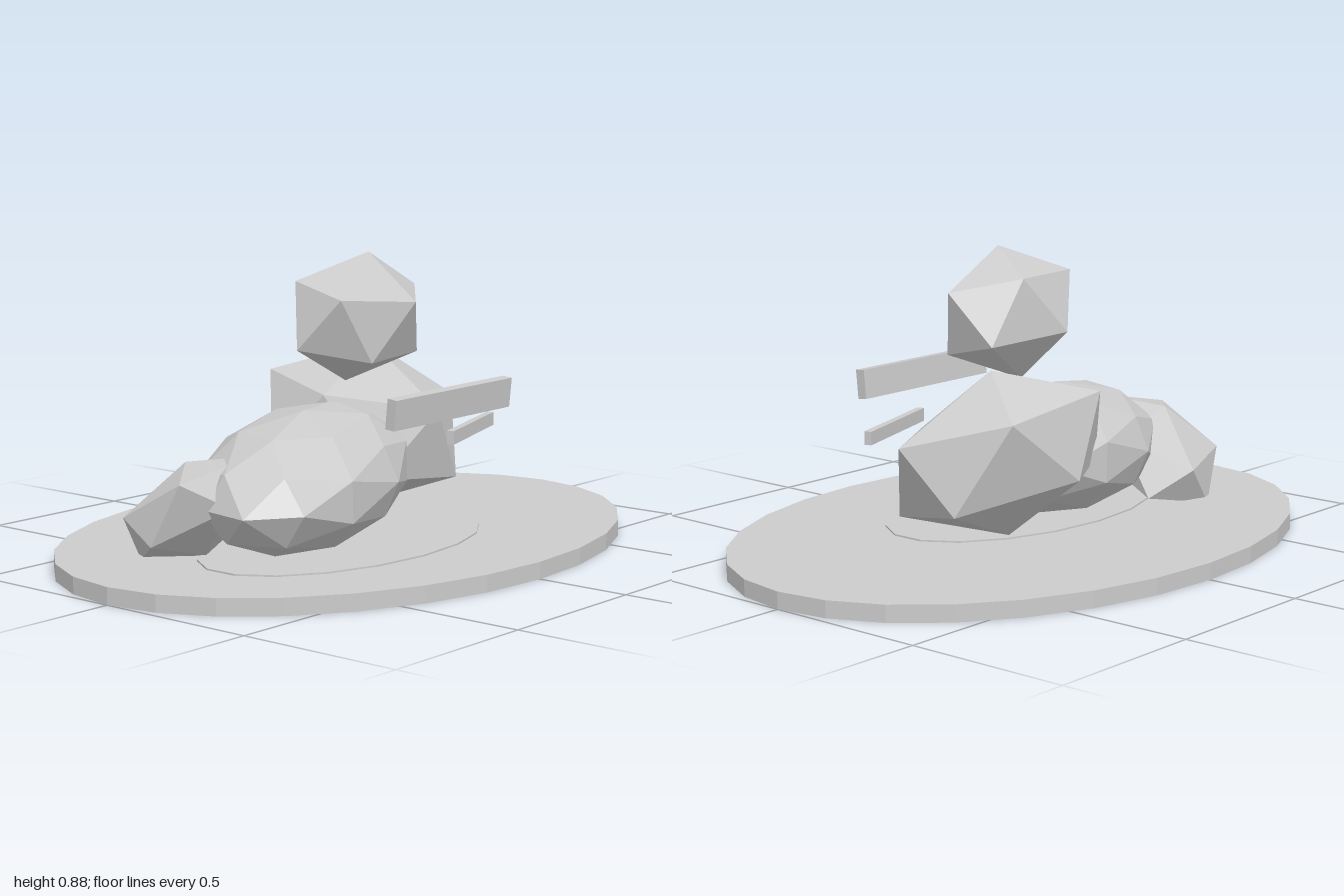
import * as THREE from 'three';

const grey = new THREE.MeshStandardMaterial({ color: 0xcccccc, flatShading: true });

function addMesh(group, name, geometry, position, rotation = [0, 0, 0]) {
  const mesh = new THREE.Mesh(geometry, grey);
  mesh.name = name;
  mesh.position.set(...position);
  mesh.rotation.set(...rotation);
  group.add(mesh);
}

// Oval slab with the given half widths along x and z
function ovalSlab(rx, rz, height, sides) {
  return new THREE.CylinderGeometry(1, 1, height, sides).scale(rx, 1, rz);
}

// Stretched icosahedron: one face is placed at corners a, b, c (from the centre,
// counterclockwise), and the other corners follow from it
function facetedRock(a, b, c) {
  const geometry = new THREE.IcosahedronGeometry(1, 0);
  const pos = geometry.attributes.position;
  const corner = (i) => new THREE.Vector3().fromBufferAttribute(pos, i);
  const from = new THREE.Matrix4().makeBasis(corner(0), corner(1), corner(2));
  const to = new THREE.Matrix4().makeBasis(
    new THREE.Vector3(...a), new THREE.Vector3(...b), new THREE.Vector3(...c));
  geometry.applyMatrix4(to.multiply(from.invert()));
  geometry.computeVertexNormals();
  return geometry;
}

export function createModel() {
  const model = new THREE.Group();
  model.name = 'rockPile';

  // Ground
  addMesh(model, 'base', ovalSlab(1, 0.712, 0.05, 28), [0, 0.025, 0]);
  addMesh(model, 'groundPatch', ovalSlab(0.53, 0.3, 0.01, 18), [-0.16, 0.05, 0.12]);

  // Long rounded boulder, turned and slightly raised at its left end
  addMesh(model, 'longBoulder',
    new THREE.IcosahedronGeometry(1, 1).scale(0.51, 0.197, 0.285),
    [-0.23, 0.245, 0.035], [0, 0.38, 0.06]);

  // Faceted rocks
  addMesh(model, 'largeRock',
    facetedRock([0.042, 0.25, -0.003], [0.347, 0.062, 0.072], [0.167, 0.135, -0.193]),
    [0.243, 0.322, -0.137]);
  addMesh(model, 'smallRock',
    facetedRock([-0.02, 0.135, -0.02], [-0.19, -0.01, -0.1], [-0.19, 0.11, 0.12]),
    [-0.58, 0.19, -0.07]);
  addMesh(model, 'topRock',
    facetedRock([0.003, 0.195, 0.042], [0.063, 0.05, 0.172], [0.238, 0.08, 0.027]),
    [0.012, 0.69, 0.028]);

  // Flat bars in front
  addMesh(model, 'wideBar', new THREE.BoxGeometry(0.555, 0.088, 0.032),
    [0.013, 0.467, 0.378], [0.1, 0.02, 0]);
  addMesh(model, 'narrowBar', new THREE.BoxGeometry(0.375, 0.04, 0.022),
    [0.257, 0.35, 0.267], [0, 0.33, 0]);

  return model;
}
